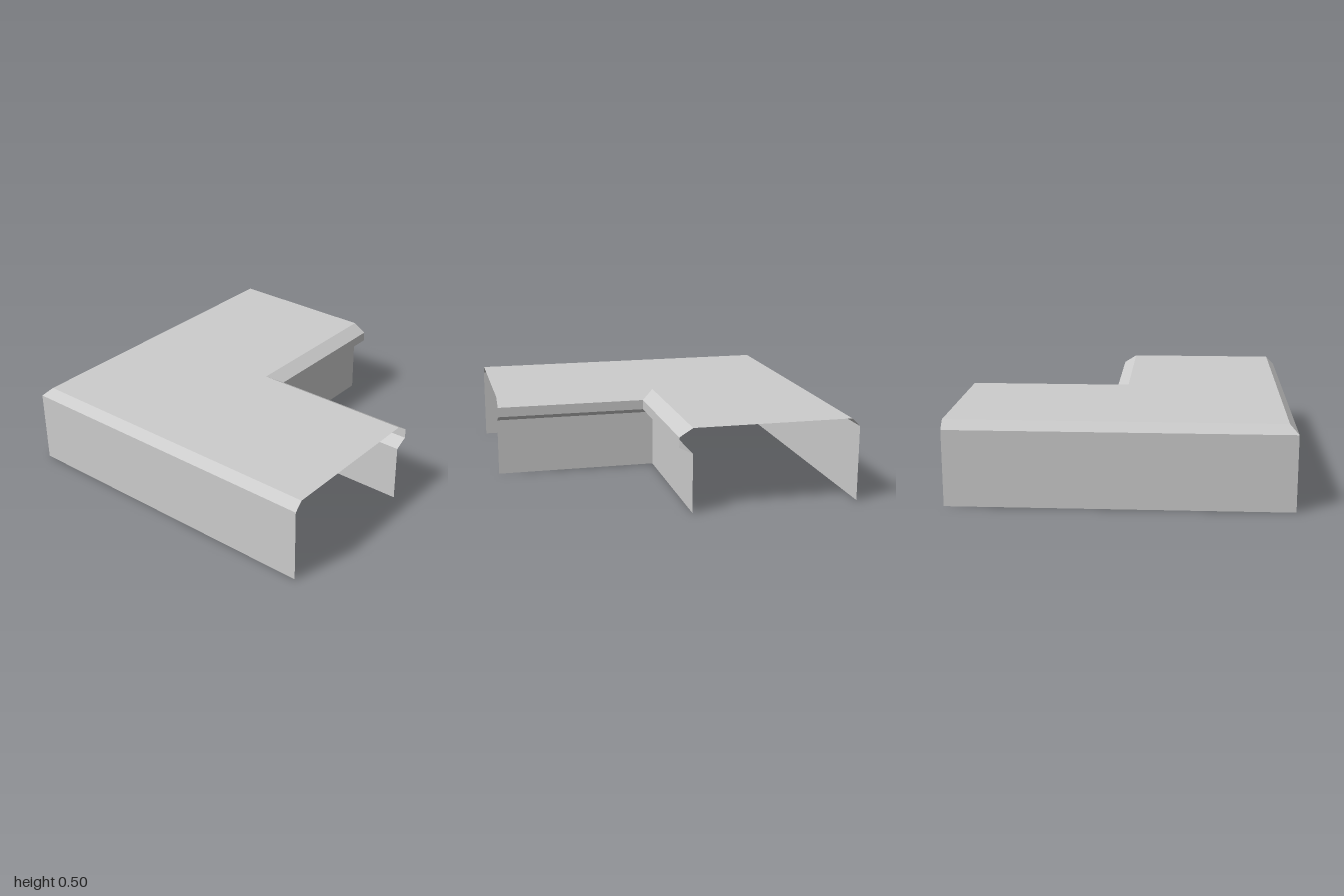
import * as THREE from 'three';

// Mitred sweep of a profile [offset, height] around the L-shaped corner:
// along z on the front arm, then along x on the side arm.
function sweep(profile) {
  const pos = [];
  const path = [(a, y) => [a, y, 1], (a, y) => [a, y, a], (a, y) => [1, y, a]];
  for (let i = 0; i < profile.length - 1; i++) {
    for (let s = 0; s < 2; s++) {
      const p00 = path[s](...profile[i]);
      const p01 = path[s + 1](...profile[i]);
      const p10 = path[s](...profile[i + 1]);
      const p11 = path[s + 1](...profile[i + 1]);
      pos.push(...p00, ...p01, ...p10, ...p01, ...p11, ...p10);
    }
  }
  const geo = new THREE.BufferGeometry();
  geo.setAttribute('position', new THREE.Float32BufferAttribute(pos, 3));
  geo.computeVertexNormals();
  return geo;
}

export function createModel() {
  const group = new THREE.Group();
  group.name = 'cornerShell';
  const grey = new THREE.MeshStandardMaterial({ color: 0xcccccc, side: THREE.DoubleSide, flatShading: true });
  grey.name = 'grey';

  // Open shell, from the inside corner over the top to the outside corner
  const parts = {
    innerWall: [[0, 0], [0, 0.35]],
    innerLip: [[0, 0.35], [0.08, 0.39], [0.08, 0.45], [0, 0.5]],
    topSurface: [[0, 0.5], [-0.95, 0.5]],
    outerBevel: [[-0.95, 0.5], [-1, 0.45]],
    outerWall: [[-1, 0.45], [-1, 0]],
  };
  for (const [name, profile] of Object.entries(parts)) {
    const mesh = new THREE.Mesh(sweep(profile), grey);
    mesh.name = name;
    group.add(mesh);
  }
  return group;
}
